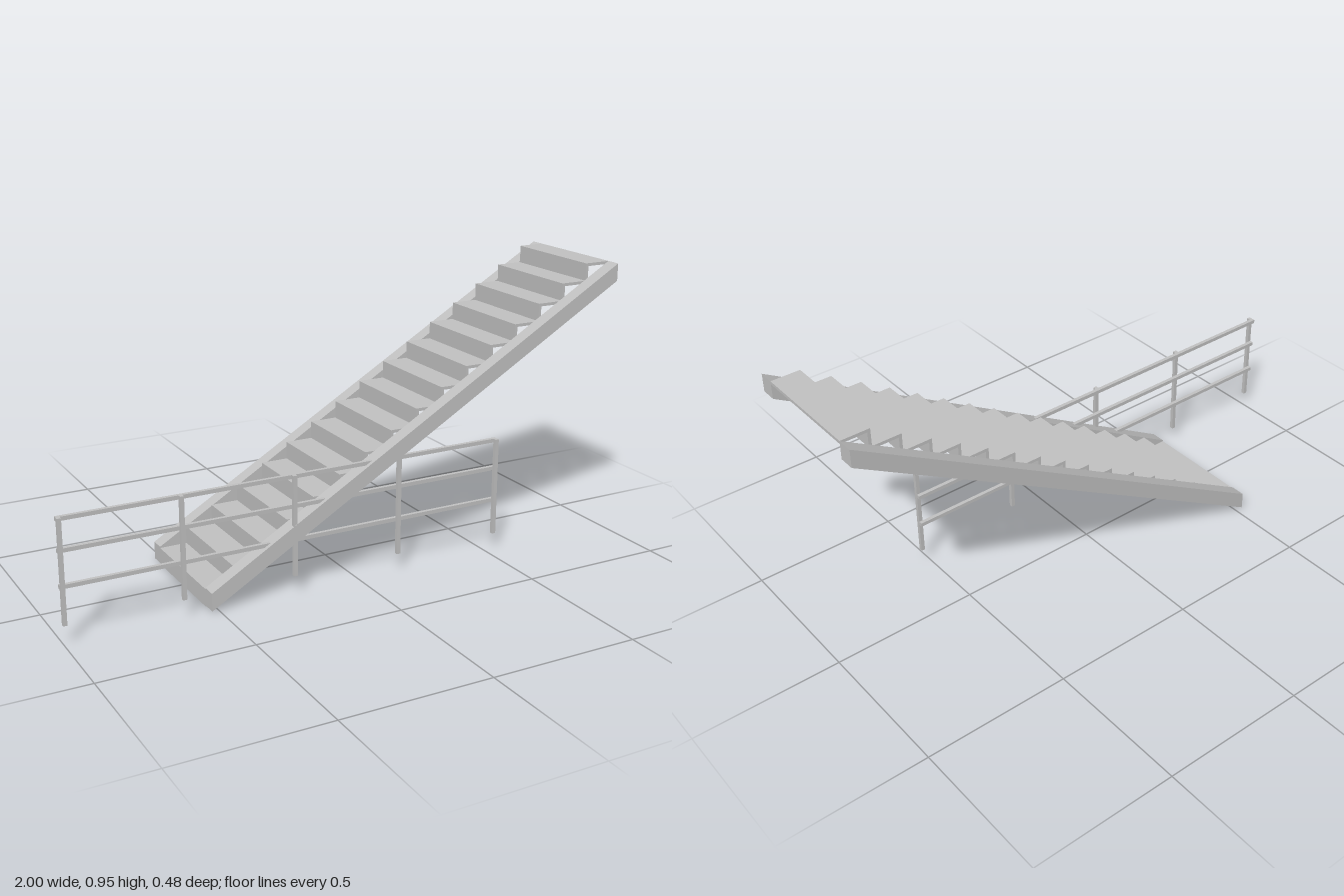
import * as THREE from 'three';

const steel = new THREE.MeshStandardMaterial({ color: 0xc0c0c0 });
steel.name = 'grey steel';

// Extrudes an xy outline from z0 to z1
function slab(name, points, z0, z1) {
  const shape = new THREE.Shape(points.map(([x, y]) => new THREE.Vector2(x, y)));
  const geometry = new THREE.ExtrudeGeometry(shape, { depth: z1 - z0, bevelEnabled: false });
  geometry.translate(0, 0, z0);
  const mesh = new THREE.Mesh(geometry, steel);
  mesh.name = name;
  return mesh;
}

// Box given by its minimum and maximum corners
function bar(name, [x0, y0, z0], [x1, y1, z1]) {
  const mesh = new THREE.Mesh(new THREE.BoxGeometry(x1 - x0, y1 - y0, z1 - z0), steel);
  mesh.name = name;
  mesh.position.set((x0 + x1) / 2, (y0 + y1) / 2, (z0 + z1) / 2);
  return mesh;
}

export function createModel() {
  const model = new THREE.Group();
  model.name = 'staircase';
  const left = -0.525, right = 1, inner = 0.188, outer = 0.239;

  // Sloping side beams
  const beam = [[left, 0.004], [right, 0.895], [right, 0.955], [left, 0.064]];
  model.add(slab('frontStringer', beam, inner, outer));
  model.add(slab('backStringer', beam, -outer, -inner));

  // Folded steps: a thin riser with a thin tread on top
  const steps = new THREE.Group();
  steps.name = 'steps';
  const count = 16, run = (right - left) / count, rise = 0.955 / count, t = 0.01;
  for (let i = 0; i < count; i++) {
    const x = left + i * run, y = i * rise, top = y + rise;
    steps.add(slab('step', [
      [x, y], [x + t, y], [x + t, top - t], [x + run, top - t], [x + run, top], [x, top],
    ], -inner, inner));
  }
  model.add(steps);

  // Level railing beside the stairs
  const railing = new THREE.Group();
  railing.name = 'railing';
  const x0 = -1, x1 = 0.535, w = 0.013;
  for (const y of [0.4, 0.301, 0.187]) {
    railing.add(bar('rail', [x0, y - w, 0.212], [x1, y, 0.225]));
  }
  for (let i = 0; i < 5; i++) {
    const x = x0 + (i / 4) * (x1 - x0 - w);
    railing.add(bar('post', [x, 0.062, 0.225], [x + w, 0.4, 0.238]));
  }
  model.add(railing);

  return model;
}
